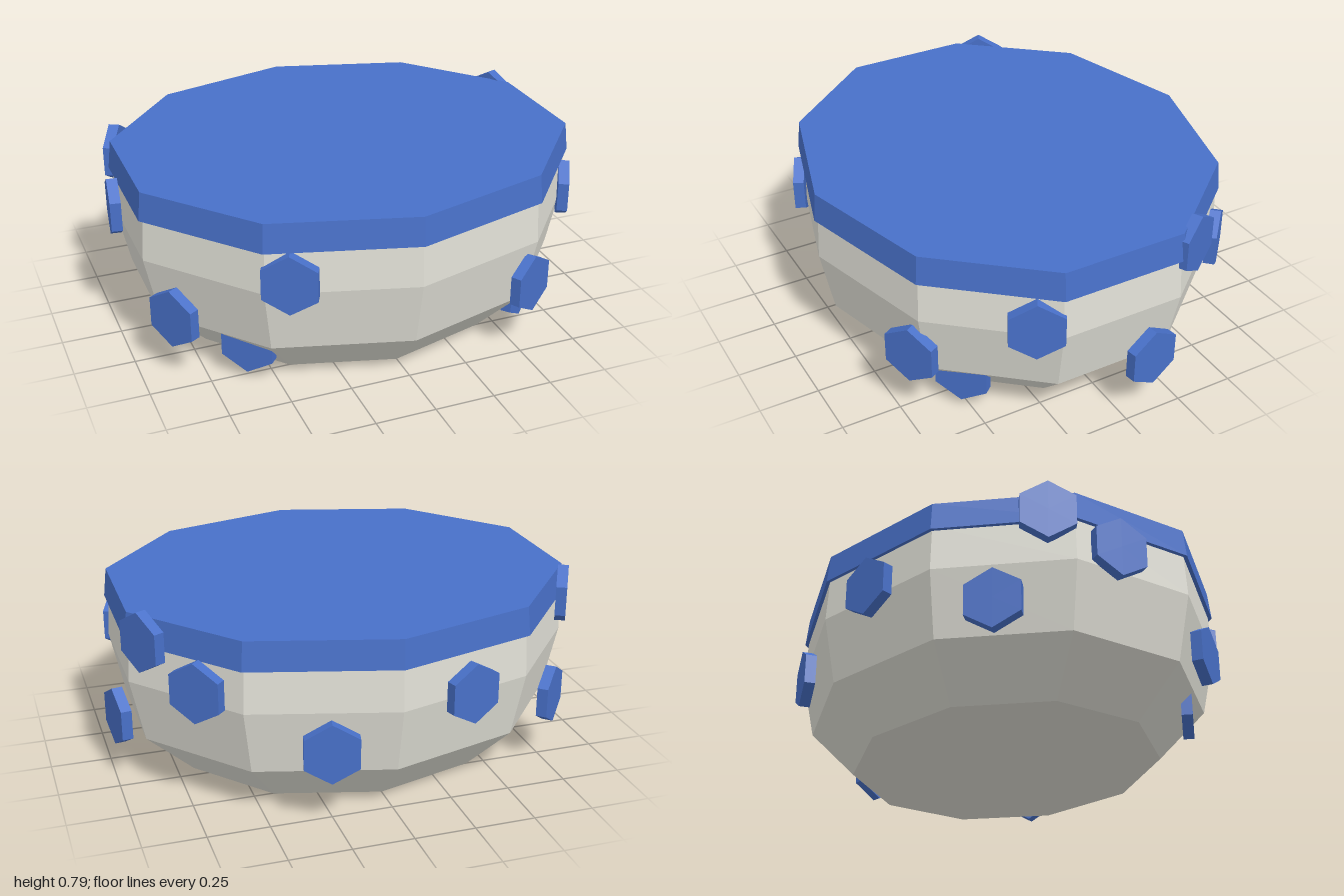
import * as THREE from 'three';

const DEPTH = 0.866; // the bowl is an oval: z is squeezed

const cream = new THREE.MeshStandardMaterial({ color: 0xe0dfd6, flatShading: true });
const blue = new THREE.MeshStandardMaterial({ color: 0x4870c8, flatShading: true });

// Ten-sided turned shape from a bottom-to-top profile of [radius, y]
function turned(name, profile, material) {
  const points = profile.map(([r, y]) => new THREE.Vector2(r, y));
  const mesh = new THREE.Mesh(new THREE.LatheGeometry(points, 10), material);
  mesh.scale.z = DEPTH;
  mesh.name = name;
  return mesh;
}

export function createModel() {
  const model = new THREE.Group();
  model.name = 'studdedBowl';

  // Faceted bowl body
  model.add(turned('bowl', [[0, 0], [0.717, 0], [0.927, 0.195], [0.988, 0.465], [0.975, 0.66]], cream));

  // Flat lid with a slightly flared band
  model.add(turned('lid', [[0, 0.64], [0.994, 0.64], [0.98, 0.76], [0, 0.76]], blue));

  // Hexagonal studs, points up, each facing straight out from the oval wall
  const hexagon = new THREE.CylinderGeometry(0.125, 0.125, 0.045, 6).rotateX(Math.PI / 2);
  hexagon.rotateZ(0);
  const studs = [
    [-0.30, 0.485, -0.81], [0.27, 0.315, -0.81],
    [-0.775, 0.29, -0.53], [0.73, 0.525, -0.57],
    [-0.89, 0.665, -0.36], [0.89, 0.665, -0.35],
    [-0.97, 0.545, -0.09], [0.97, 0.255, -0.12],
    [-0.86, 0.265, 0.40], [0.885, 0.505, 0.35],
    [-0.49, 0.515, 0.73], [0.545, 0.295, 0.71],
    [-0.595, 0.155, 0.515], [0.595, 0.155, 0.515], // half sunk into the lower slope
  ];
  for (const [x, y, z] of studs) {
    const stud = new THREE.Mesh(hexagon, blue);
    stud.position.set(x, y, z);
    stud.rotation.y = Math.atan2(x, z / DEPTH ** 2);
    stud.name = 'stud';
    model.add(stud);
  }
  return model;
}
